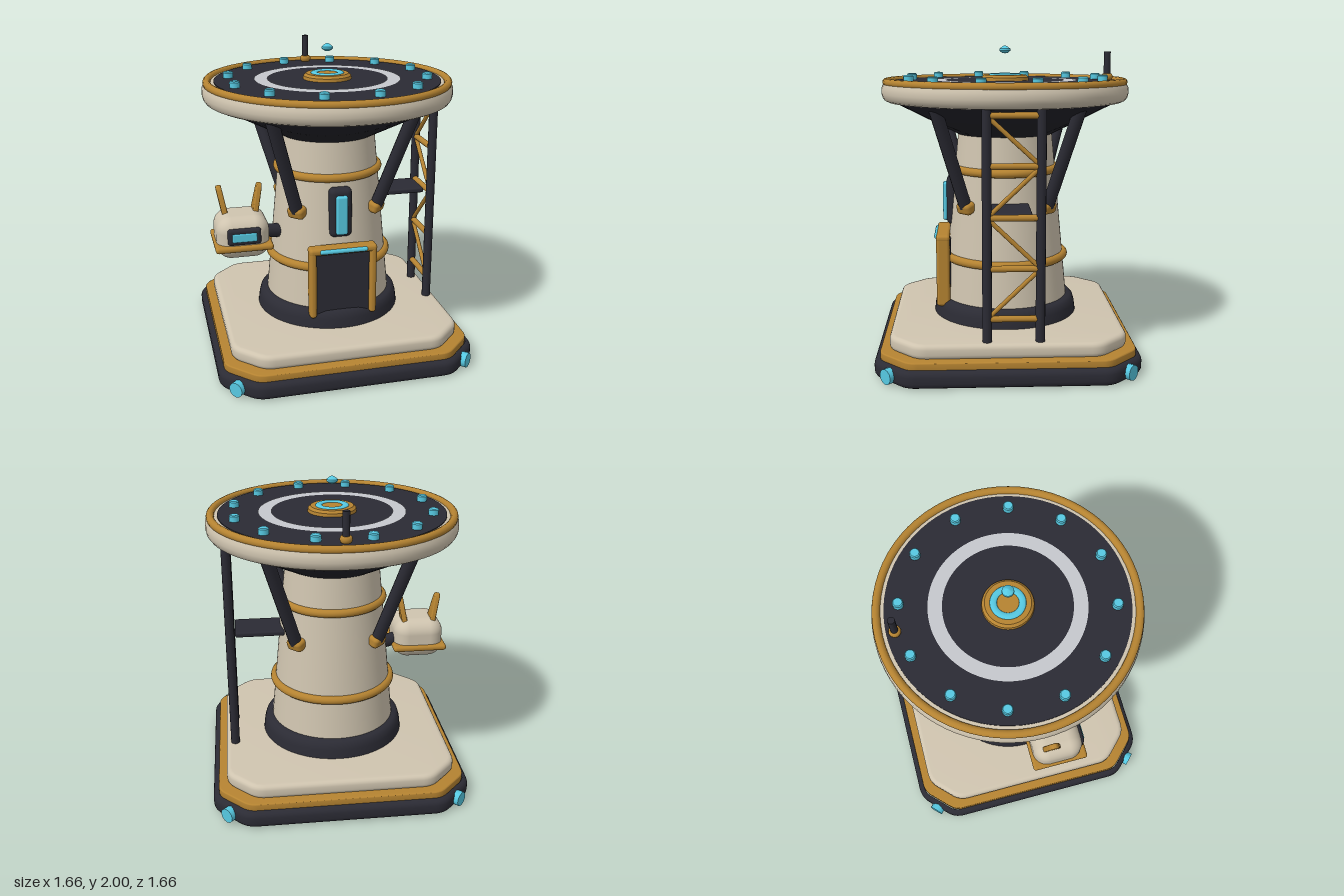
import * as THREE from 'three';
import { toCreasedNormals } from 'three/addons/utils/BufferGeometryUtils.js';
import { RoundedBoxGeometry } from 'three/addons/geometries/RoundedBoxGeometry.js';

const paint = (name, color) => {
  const m = new THREE.MeshStandardMaterial({ color });
  m.name = name;
  return m;
};

export function createModel() {
  const cream = paint('cream', 0xcfc4af);
  const gold = paint('gold', 0xb58331);
  const dark = paint('charcoal', 0x2b2b34);
  const black = paint('underside black', 0x222229);
  const cyan = paint('cyan', 0x56c9e2);
  const grey = paint('grey', 0xc6c8cd);
  dark.side = THREE.DoubleSide; // the foot is an open shell

  const model = new THREE.Group();
  model.name = 'landingTower';
  const V = (x, y, z) => new THREE.Vector3(x, y, z);

  function add(name, geometry, material, x = 0, y = 0, z = 0, parent = model) {
    const mesh = new THREE.Mesh(geometry, material);
    mesh.name = name;
    mesh.position.set(x, y, z);
    parent.add(mesh);
    return mesh;
  }
  function group(name) {
    const g = new THREE.Group();
    g.name = name;
    model.add(g);
    return g;
  }
  const box = (w, h, d, r = 0.012) => new RoundedBoxGeometry(w, h, d, 3, r);
  const lathe = (points, segments = 64) => toCreasedNormals(
    new THREE.LatheGeometry(points.map(([r, y]) => new THREE.Vector2(r, y)), segments), 0.6);

  // Round bar between two points
  function bar(name, a, b, radius, material, parent = model, sides = 12) {
    const mesh = add(name, new THREE.CylinderGeometry(radius, radius, a.distanceTo(b), sides), material, 0, 0, 0, parent);
    mesh.position.copy(a).add(b).multiplyScalar(0.5);
    mesh.quaternion.setFromUnitVectors(V(0, 1, 0), b.clone().sub(a).normalize());
    return mesh;
  }

  // Flat ring lying level
  function hoop(name, radius, tube, y, material) {
    const geometry = new THREE.TorusGeometry(radius, tube, 12, 72).rotateX(Math.PI / 2);
    return add(name, geometry, material, 0, y, 0);
  }

  // Bevelled square slab with cut, softly rounded corners; a shell keeps the walls only
  function slab(name, half, cut, y0, y1, bevel, material, shell = false) {
    const h = half - bevel;
    const k = h - (cut - 0.586 * bevel);
    const corners = [[h, -k], [h, k], [k, h], [-k, h], [-h, k], [-h, -k], [-k, -h], [k, -h]]
      .map(([x, y]) => new THREE.Vector2(x, y));
    const shape = new THREE.Shape();
    corners.forEach((corner, i) => {
      const toward = (other) => corner.clone().add(other.clone().sub(corner).setLength(0.05));
      const a = toward(corners[(i + 7) % 8]), b = toward(corners[(i + 1) % 8]);
      if (i === 0) shape.moveTo(a.x, a.y);
      else shape.lineTo(a.x, a.y);
      shape.quadraticCurveTo(corner.x, corner.y, b.x, b.y);
    });
    shape.closePath();
    let geometry = new THREE.ExtrudeGeometry(shape, {
      depth: y1 - y0 - 2 * bevel, bevelThickness: bevel, bevelSize: bevel, bevelSegments: 4, curveSegments: 5,
    }).rotateX(-Math.PI / 2);
    if (shell) {
      const { start, count } = geometry.groups[1];
      const walls = geometry.attributes.position.array.slice(start * 3, (start + count) * 3);
      geometry = new THREE.BufferGeometry().setAttribute('position', new THREE.BufferAttribute(walls, 3));
    }
    add(name, toCreasedNormals(geometry, 0.5), material, 0, y0 + bevel, 0);
  }

  // Stepped base, hollow underneath
  slab('baseUnderside', 0.772, 0.185, 0.095, 0.102, 0.002, black);
  slab('baseFoot', 0.828, 0.205, 0.002, 0.112, 0.036, dark, true);
  slab('baseTrim', 0.792, 0.19, 0.1, 0.155, 0.008, gold);
  slab('basePlinth', 0.738, 0.18, 0.15, 0.243, 0.03, cream);

  // Corner lamps
  for (let i = 0; i < 4; i++) {
    const a = Math.PI / 4 + i * Math.PI / 2;
    const lamp = add('cornerLamp', new THREE.CylinderGeometry(0.048, 0.048, 0.045, 12).rotateX(Math.PI / 2),
      cyan, 0.731 * Math.SQRT2 * Math.sin(a), 0.056, 0.731 * Math.SQRT2 * Math.cos(a));
    lamp.rotation.y = a;
  }

  // Tower shaft and bands
  add('towerSkirt', lathe([[0.475, 0.24], [0.468, 0.3], [0.458, 0.335], [0.44, 0.352], [0.41, 0.358], [0.3, 0.358]]), dark);
  add('towerShaft', lathe([[0.422, 0.25], [0.305, 1.46]]), cream);
  hoop('lowerBand', 0.39, 0.028, 0.63, gold);
  hoop('upperBand', 0.33, 0.027, 1.209, gold);

  // Landing deck
  add('deckUnderside', lathe([[0.3, 1.435], [0.312, 1.435], [0.718, 1.642]]), black);
  add('deckRim', lathe([[0, 1.64], [0.725, 1.64], [0.755, 1.644], [0.778, 1.655], [0.792, 1.675], [0.798, 1.7],
    [0.796, 1.735], [0.785, 1.758], [0.76, 1.768], [0.735, 1.771], [0, 1.771]], 80), cream);
  hoop('deckTrim', 0.765, 0.025, 1.769, gold);
  add('deckSurface', new THREE.CylinderGeometry(0.72, 0.72, 0.02, 80), dark, 0, 1.767, 0);
  add('deckCircle', new THREE.RingGeometry(0.382, 0.466, 72).rotateX(-Math.PI / 2), grey, 0, 1.78, 0);
  add('deckHub', lathe([[0.155, 1.775], [0.152, 1.797], [0.136, 1.812], [0, 1.812]], 48), gold);
  hoop('hubGlow', 0.085, 0.021, 1.812, cyan).scale.y = 0.45;
  for (let i = 0; i < 12; i++) {
    const a = Math.PI / 12 + i * Math.PI / 6;
    add('deckLamp', lathe([[0.032, 0], [0.032, 0.034], [0.026, 0.041], [0, 0.041]], 16),
      cyan, 0.635 * Math.sin(a), 1.775, 0.635 * Math.cos(a));
  }

  // Beacon and antenna
  add('beacon', lathe([[0, -0.025], [0.02, -0.021], [0.036, -0.007], [0.035, 0.005], [0.012, 0.022], [0, 0.027]], 16),
    cyan, 0, 1.973, 0);
  bar('antenna', V(0, 1.77, -0.667), V(0, 1.96, -0.667), 0.022, dark);
  add('antennaCollar', new THREE.TorusGeometry(0.024, 0.013, 10, 24).rotateX(Math.PI / 2).scale(1, 1.6, 1), gold, 0, 1.798, -0.667);

  // Diagonal deck struts with their shoes
  for (let i = 0; i < 4; i++) {
    const a = Math.PI / 4 + i * Math.PI / 2;
    const s = Math.sin(a) * Math.SQRT2, c = Math.cos(a) * Math.SQRT2;
    bar('deckStrut', V(0.262 * s, 0.99, 0.262 * c), V(0.443 * s, 1.64, 0.443 * c), 0.041, dark);
    const shoe = add('strutShoe', box(0.115, 0.075, 0.085, 0.025), gold, 0.258 * s, 0.983, 0.258 * c);
    shoe.rotation.set(0.3, a, 0, 'YXZ');
  }

  // Front window
  add('windowFrame', box(0.146, 0.325, 0.1, 0.035), dark, 0, 0.992, 0.337);
  add('windowPane', box(0.075, 0.255, 0.05, 0.015), cyan, 0, 0.983, 0.387);

  // Doorway
  const doorway = group('doorway');
  add('door', box(0.355, 0.445, 0.065), dark, 0, 0.5325, 0.394, doorway);
  for (const side of [-1, 1]) {
    add('doorPost', box(0.045, 0.475, 0.088, 0.02), gold, side * 0.196, 0.553, 0.411, doorway);
  }
  add('doorLintel', box(0.44, 0.047, 0.09, 0.02), gold, 0, 0.768, 0.411, doorway);
  add('doorLight', new THREE.CapsuleGeometry(0.015, 0.28, 6, 12).rotateZ(Math.PI / 2), cyan, 0, 0.77, 0.455, doorway);

  // Side pod with visor, collar and ears
  const pod = group('sidePod');
  const px = -0.605, pz = 0.155;
  add('podBody', new RoundedBoxGeometry(0.335, 0.275, 0.33, 6, 0.095), cream, px, 0.84, pz, pod);
  add('podCollar', box(0.365, 0.042, 0.37, 0.02), gold, px, 0.79, pz, pod);
  add('visorFrame', box(0.21, 0.108, 0.05, 0.02), dark, px, 0.868, 0.308, pod);
  add('visorGlass', box(0.155, 0.055, 0.02, 0.008), cyan, px, 0.866, 0.33, pod);
  bar('podArm', V(-0.47, 0.82, 0.12), V(-0.335, 0.802, 0.085), 0.045, dark, pod, 16);

  const earShape = new THREE.Shape();
  earShape.moveTo(-0.05, 0);
  earShape.lineTo(0.05, 0);
  earShape.lineTo(0.022, 0.165);
  earShape.quadraticCurveTo(0, 0.21, -0.022, 0.165);
  const earGeometry = toCreasedNormals(new THREE.ExtrudeGeometry(earShape, {
    depth: 0.016, bevelThickness: 0.01, bevelSize: 0.01, bevelSegments: 3,
  }).translate(0, 0, -0.008).rotateY(Math.PI / 2), 0.7);
  for (const side of [-1, 1]) {
    const ear = add('podEar', earGeometry, gold, px + side * 0.095, 0.953, 0.105, pod);
    ear.rotation.z = -side * 0.19;
  }

  // Lattice mast with catwalk
  const mast = group('latticeMast');
  const mx = 0.678, zFront = 0.135, zBack = -0.185;
  for (const z of [zFront, zBack]) {
    bar('mastPost', V(mx, 0.235, z), V(mx, 1.655, z), 0.029, dark, mast);
  }
  const levels = [0.385, 0.695, 1.003, 1.308, 1.603];
  levels.forEach((y, i) => {
    bar('mastRung', V(mx, y, zFront), V(mx, y, zBack), 0.02, gold, mast);
    if (i === 0) return;
    const [low, high] = i % 2 ? [zFront, zBack] : [zBack, zFront];
    bar('mastBrace', V(mx, levels[i - 1], low), V(mx, y, high), 0.014, gold, mast, 10);
  });
  add('catwalk', box(0.32, 0.034, 0.24, 0.012), dark, 0.485, 1.005, -0.018, mast);

  return model;
}
